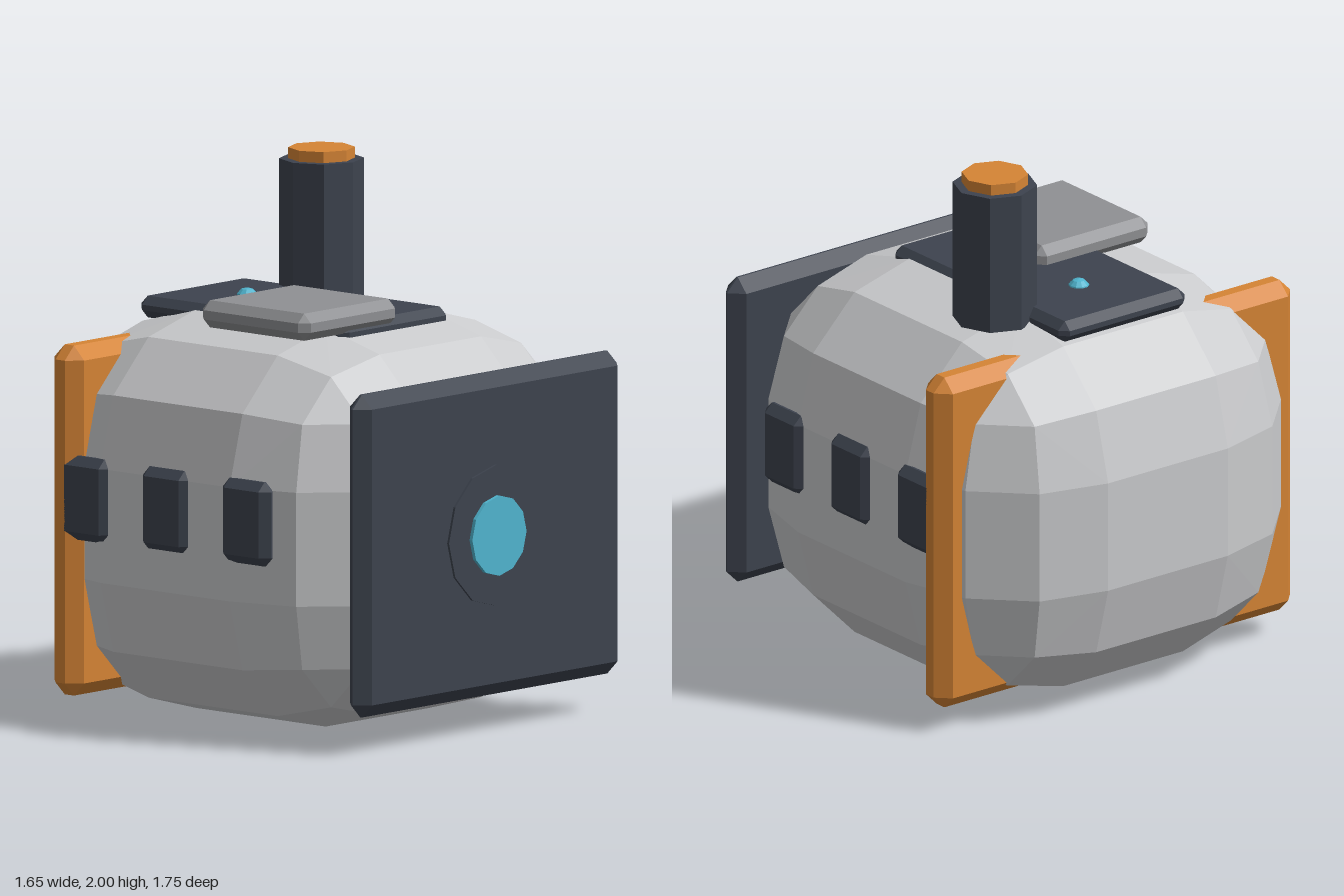
import * as THREE from 'three';
import { ConvexGeometry } from 'three/addons/geometries/ConvexGeometry.js';

const mat = (name, color) => {
  const m = new THREE.MeshStandardMaterial({ color });
  m.name = name;
  return m;
};

// Corner directions of a one-step chamfer, and of a three-step rounding
const CHAMFER = [[1, 0, 0], [0, 1, 0], [0, 0, 1]];
const C = Math.cos(Math.PI / 6), A = 0.46, B = Math.sqrt(1 - 2 * A * A);
const ROUND = [
  ...CHAMFER,
  [0.5, C, 0], [C, 0.5, 0], [0, 0.5, C], [0, C, 0.5], [0.5, 0, C], [C, 0, 0.5],
  [A, A, B], [A, B, A], [B, A, A],
];

// Box with all edges bevelled by r, centred on the origin
function bevelBox(w, h, d, r, dirs = CHAMFER) {
  const points = [];
  for (const sx of [-1, 1]) for (const sy of [-1, 1]) for (const sz of [-1, 1])
    for (const [x, y, z] of dirs)
      points.push(new THREE.Vector3(
        sx * (w / 2 - r + r * x), sy * (h / 2 - r + r * y), sz * (d / 2 - r + r * z)));
  return new ConvexGeometry(points);
}

export function createModel() {
  const model = new THREE.Group();
  model.name = 'roundedPod';

  const shell = mat('pale grey', 0xcacbcd);
  const dark = mat('dark slate', 0x3d434e);
  const orange = mat('orange', 0xd58435);
  const cyan = mat('cyan', 0x50b5cf);
  const grey = mat('mid grey', 0x8f9093);
  for (const m of [shell, dark, orange, cyan, grey]) m.flatShading = true;

  const add = (name, geometry, material, x, y, z) => {
    const mesh = new THREE.Mesh(geometry, material);
    mesh.name = name;
    mesh.position.set(x, y, z);
    model.add(mesh);
    return mesh;
  };

  // Faceted rounded body
  add('body', bevelBox(1.605, 1.47, 1.68, 0.525, ROUND), shell, 0, 0.737, -0.038);

  // Front plate with a round lamp
  add('frontPlate', bevelBox(1.44, 1.19, 0.108, 0.05), dark, 0, 0.735, 0.8);
  const disc = (r, depth) => new THREE.CylinderGeometry(r, r, depth, 12).rotateX(Math.PI / 2);
  add('lampRing', disc(0.26, 0.04), dark, 0, 0.737, 0.843);
  add('lampLens', disc(0.148, 0.04), cyan, 0, 0.737, 0.857);

  // Orange slab passing through the rear of the body
  add('rearBand', bevelBox(1.655, 1.29, 0.145, 0.05), orange, 0, 0.737, -0.527);

  // Three windows on each side
  const windowShape = bevelBox(0.075, 0.31, 0.235, 0.033);
  for (const side of [-1, 1])
    for (const z of [0.355, -0.035, -0.425])
      add(side > 0 ? 'leftWindow' : 'rightWindow', windowShape, dark, side * 0.79, 0.827, z);

  // Roof panel, hatch and signal light
  add('roofPanel', bevelBox(0.585, 0.08, 1.015, 0.03), dark, 0, 1.453, -0.127);
  add('roofHatch', bevelBox(0.525, 0.1, 0.525, 0.033), grey, -0.262, 1.509, 0.133);
  add('signalLight', new THREE.SphereGeometry(0.043, 10, 6), cyan, 0, 1.476, -0.355);

  // Chimney with orange cap
  add('chimney', new THREE.CylinderGeometry(0.155, 0.155, 0.525, 8), dark, 0.347, 1.697, -0.302);
  add('chimneyCap', new THREE.CylinderGeometry(0.122, 0.122, 0.08, 8), orange, 0.347, 1.96, -0.302);

  return model;
}
